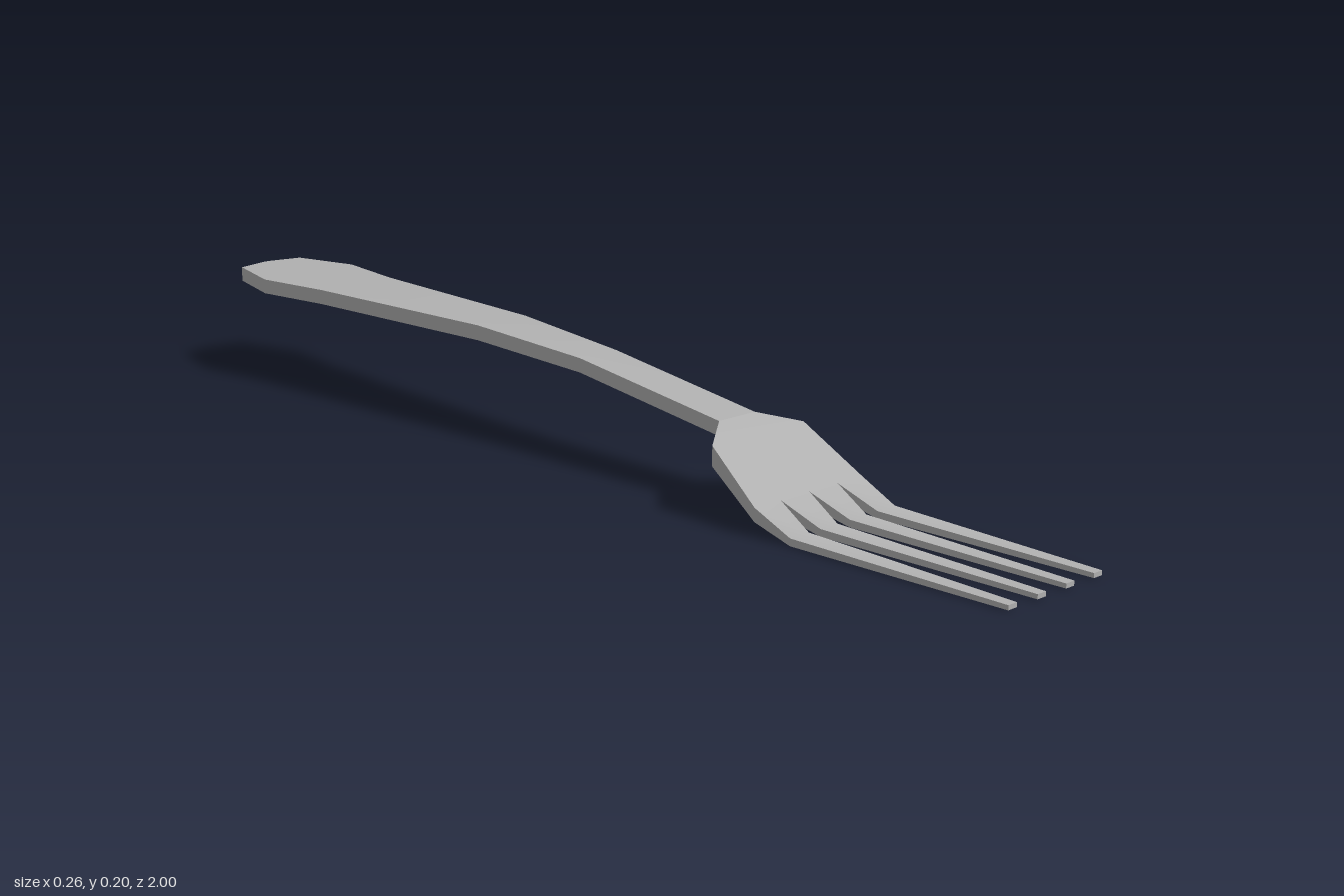
import * as THREE from 'three';
import { mergeGeometries, toCreasedNormals } from 'three/addons/utils/BufferGeometryUtils.js';

// Joins rectangular cross-sections [z, xMin, xMax, yTop, yBottom], listed from back to front
function loft(sections, capBack, capFront) {
  const pos = [];
  const rings = sections.map(([z, x0, x1, top, bottom]) => [[x0, top, z], [x1, top, z], [x1, bottom, z], [x0, bottom, z]]);
  const quad = (a, b, c, d) => pos.push(...a, ...b, ...c, ...a, ...c, ...d);
  for (let s = 0; s < rings.length - 1; s++) {
    for (let i = 0; i < 4; i++) {
      const j = (i + 1) % 4;
      quad(rings[s][i], rings[s + 1][i], rings[s + 1][j], rings[s][j]);
    }
  }
  if (capBack) quad(...rings[0]);
  if (capFront) {
    const [a, b, c, d] = rings[rings.length - 1];
    quad(a, d, c, b);
  }
  const g = new THREE.BufferGeometry();
  g.setAttribute('position', new THREE.Float32BufferAttribute(pos, 3));
  return g;
}

// Section symmetric about x = 0
const even = (z, half, top, bottom) => [z, -half, half, top, bottom];

export function createModel() {
  const group = new THREE.Group();
  const steel = new THREE.MeshStandardMaterial({ color: 0xb0b0b0 });
  steel.name = 'steel grey';

  const add = (name, geometry) => {
    const mesh = new THREE.Mesh(toCreasedNormals(geometry, 0.65), steel);
    mesh.name = name;
    group.add(mesh);
  };

  // Handle: broad pointed end, narrowing and drooping to the neck
  add('handle', loft([
    even(-1, 0.004, 0.205, 0.177),
    even(-0.985, 0.072, 0.205, 0.177),
    even(-0.855, 0.108, 0.205, 0.177),
    even(-0.7, 0.085, 0.205, 0.177),
    even(-0.26, 0.058, 0.205, 0.177),
    even(0, 0.044, 0.188, 0.162),
    even(0.34, 0.043, 0.142, 0.116),
  ], true, false));

  // Head: shoulders sloping down to the tine roots
  const parts = [loft([
    even(0.34, 0.043, 0.142, 0.116),
    even(0.39, 0.11, 0.123, 0.088),
    even(0.505, 0.13, 0.048, 0.024),
  ], false, false)];

  // Four tapering tines, mirrored in pairs: root, bend and tip x ranges
  const tines = [
    [[0, 0.069], [0.015, 0.056], [0.025, 0.045]],
    [[0.069, 0.13], [0.083, 0.127], [0.095, 0.115]],
  ];
  const levels = [[0.505, 0.048, 0.024], [0.58, 0.014, 0.001], [1, 0.01, 0.002]];
  for (const tine of tines) {
    for (const side of [1, -1]) {
      parts.push(loft(levels.map(([z, top, bottom], i) => {
        const [a, b] = tine[i];
        return side > 0 ? [z, a, b, top, bottom] : [z, -b, -a, top, bottom];
      }), false, true));
    }
  }
  add('headAndTines', mergeGeometries(parts));

  return group;
}
